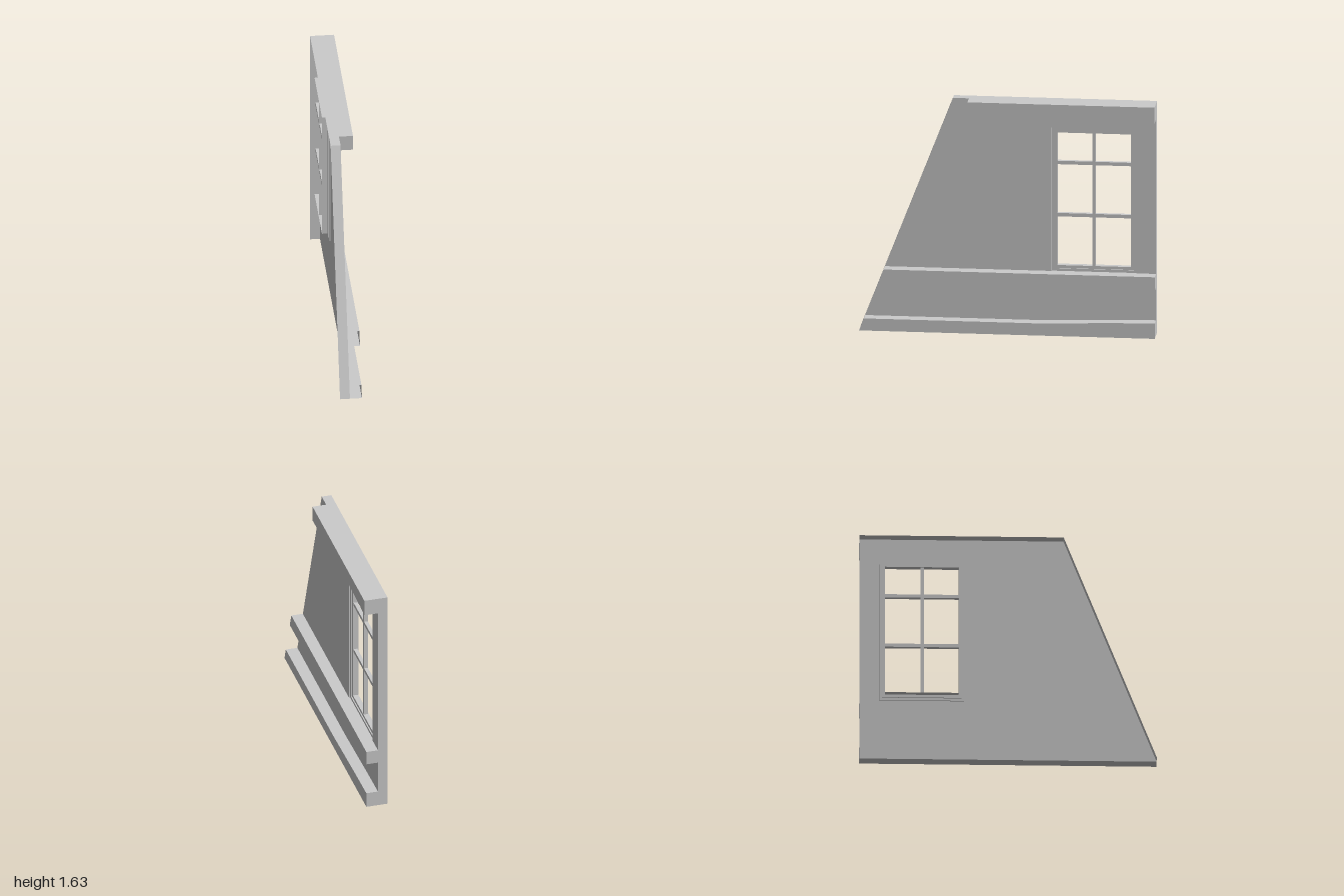
import * as THREE from 'three';

const material = new THREE.MeshStandardMaterial({
  color: 0xcccccc, flatShading: true, side: THREE.DoubleSide,
});

// Corner points (z, y) of an upright rectangle, counter-clockwise
const rect = (z0, z1, y0, y1) => [[z0, y0], [z1, y0], [z1, y1], [z0, y1]];
const toVectors = (points) => points.map(([z, y]) => new THREE.Vector2(-z, y));

function addMesh(parent, name, geometry) {
  const mesh = new THREE.Mesh(geometry, material);
  mesh.name = name;
  parent.add(mesh);
  return mesh;
}

// Flat sheet at a given x, facing +x
function sheet(points, x, hole) {
  const shape = new THREE.Shape(toVectors(points));
  if (hole) shape.holes.push(new THREE.Path(toVectors(hole)));
  return new THREE.ShapeGeometry(shape).rotateY(Math.PI / 2).translate(x, 0, 0);
}

// Band following a (z, y) path, spanning x0 to x1
function band(path, x0, x1) {
  const positions = [];
  for (let i = 0; i + 1 < path.length; i++) {
    const [za, ya] = path[i], [zb, yb] = path[i + 1];
    positions.push(x0, ya, za, x1, ya, za, x1, yb, zb, x0, ya, za, x1, yb, zb, x0, yb, zb);
  }
  const geometry = new THREE.BufferGeometry();
  geometry.setAttribute('position', new THREE.Float32BufferAttribute(positions, 3));
  geometry.computeVertexNormals();
  return geometry;
}

// Closed band facing the inside of a hole
const reveal = (hole, x0, x1) => band([...hole, hole[0]].reverse(), x0, x1);

export function createModel() {
  const group = new THREE.Group();
  group.name = 'wallPanel';

  const back = -0.082, face = -0.015, height = 1.626;
  // z of the raked front edge at a given height
  const rake = (y) => 1 - (y / height) * 0.627;

  // Wall: a front sheet with returns, open at the back and underneath
  const outer = rect(-0.867, -0.295, 0.432, 1.437);
  const outline = [[1, 0], [rake(height), height], [-1, height], [-1, 0]];
  addMesh(group, 'wallFace', sheet(outline, face, outer));
  addMesh(group, 'wallReturns', band(outline, back, face));

  // Window: shallow stepped frame and a deep inner reveal
  const middle = rect(-0.85, -0.312, 0.45, 1.42);
  const light = rect(-0.83, -0.333, 0.47, 1.4);
  const windowGroup = new THREE.Group();
  windowGroup.name = 'window';
  group.add(windowGroup);
  const step1 = face - 0.008, step2 = face - 0.016;
  addMesh(windowGroup, 'outerReveal', reveal(outer, step1, face));
  addMesh(windowGroup, 'outerFrame', sheet(outer, step1, middle));
  addMesh(windowGroup, 'middleReveal', reveal(middle, step2, step1));
  addMesh(windowGroup, 'innerFrame', sheet(middle, step2, light));
  addMesh(windowGroup, 'innerReveal', reveal(light, -0.069, step2));

  // Glazing bars
  addMesh(windowGroup, 'mullion', new THREE.BoxGeometry(0.03, 0.93, 0.022))
    .position.set(-0.049, 0.935, -0.579);
  for (const y of [0.822, 1.188]) {
    addMesh(windowGroup, 'glazingBar', new THREE.BoxGeometry(0.026, 0.024, 0.497))
      .position.set(-0.049, y, -0.5815);
  }

  // Timber beams with slightly uneven edges; the lower two are open at the raked end
  const beams = {
    topBeam: [0.08, [
      [0.265, 1.516], [0.265, height], [-1, height], [-1, 1.512],
      [-0.9, 1.521], [-0.65, 1.53], [-0.3, 1.54], [0, 1.528], [0.265, 1.516],
    ]],
    middleBeam: [0.066, [
      [rake(0.432), 0.432], [-1, 0.432], [-1, 0.335],
      [-0.75, 0.341], [-0.1, 0.341], [0.1, 0.336], [rake(0.335), 0.335],
    ]],
    bottomBeam: [0.066, [
      [rake(0.085), 0.085], [-0.2, 0.085], [-0.75, 0.103], [-1, 0.107], [-1, 0], [1, 0],
    ]],
  };
  for (const [name, [front, path]] of Object.entries(beams)) {
    const beam = new THREE.Group();
    beam.name = name;
    addMesh(beam, name + 'Face', sheet(path, front));
    addMesh(beam, name + 'Sides', band(path, face, front));
    group.add(beam);
  }

  return group;
}
